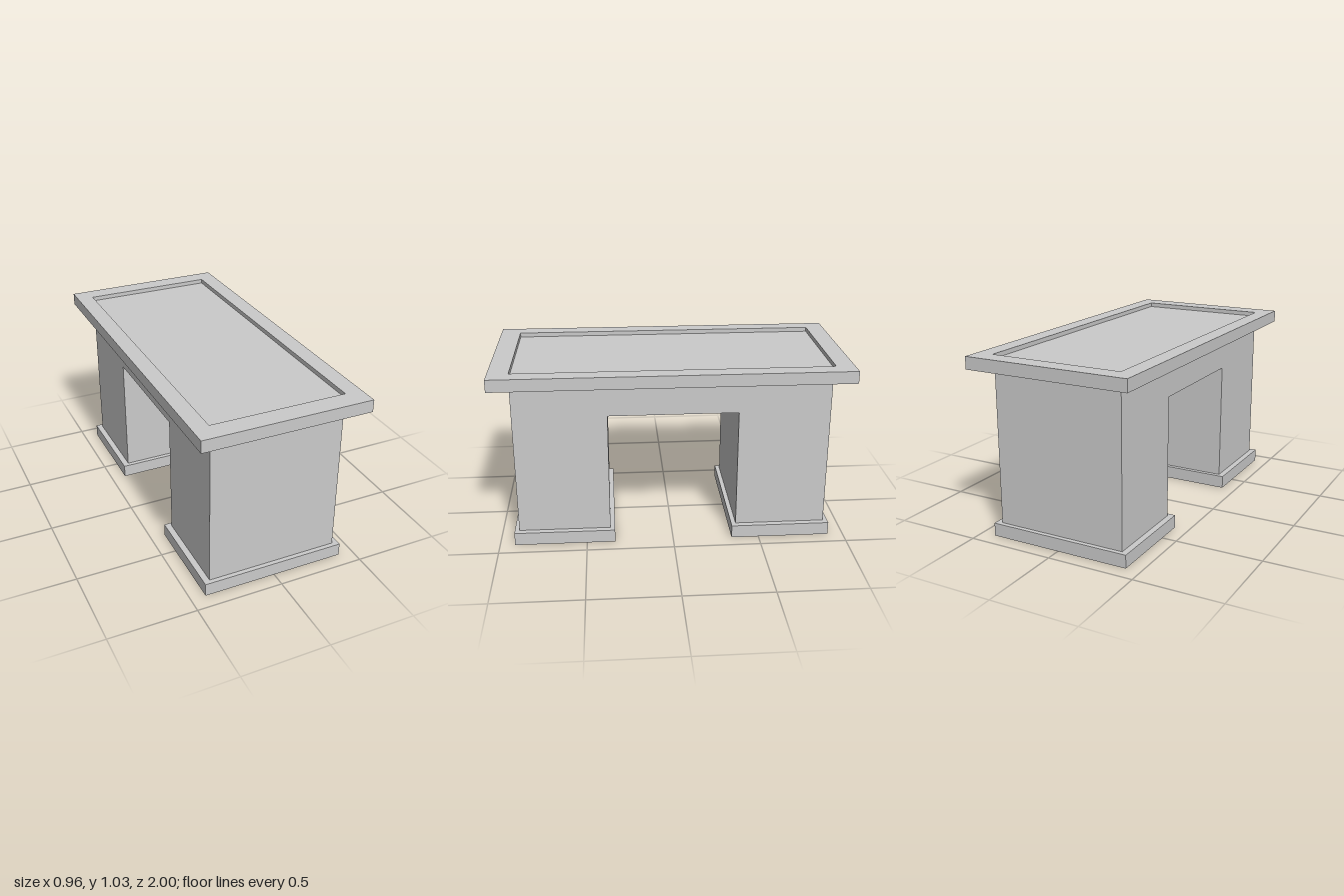
import * as THREE from 'three';

const material = new THREE.MeshStandardMaterial({ color: 0xcccccc, flatShading: true });

function part(name, geometry) {
  const mesh = new THREE.Mesh(geometry, material);
  mesh.name = name;
  return mesh;
}

function polygon(points, Type = THREE.Shape) {
  return new Type(points.map(([x, y]) => new THREE.Vector2(x, y)));
}

function rectangle(x0, x1, y0, y1, Type) {
  return polygon([[x0, y0], [x1, y0], [x1, y1], [x0, y1]], Type);
}

export function createModel() {
  const model = new THREE.Group();
  model.name = 'pedestalTable';

  const baseTop = 0.075, bodyTop = 0.96, top = 1.03, recessFloor = 1.005;

  // Two pedestals joined by a bridge: one arch profile in (-z, y), extruded along x
  const arch = polygon([
    [-0.888, baseTop], [-0.363, baseTop], [-0.363, 0.77], [0.368, 0.77],
    [0.368, baseTop], [0.886, baseTop], [0.886, bodyTop], [-0.888, bodyTop],
  ]);
  const body = new THREE.ExtrudeGeometry(arch, { depth: 0.76, bevelEnabled: false });
  body.translate(0, 0, -0.38).rotateY(Math.PI / 2);
  model.add(part('pedestalBody', body));

  // Plinth under each pedestal
  for (const [name, z0, z1] of [['frontPlinth', 0.337, 0.914], ['backPlinth', -0.912, -0.342]]) {
    const plinth = new THREE.BoxGeometry(0.83, baseTop, z1 - z0);
    plinth.translate(0, baseTop / 2, (z0 + z1) / 2);
    model.add(part(name, plinth));
  }

  // Slab below the recess, then the raised rim around it
  const outline = rectangle(-0.478, 0.478, -1, 1);
  const slab = new THREE.ExtrudeGeometry(outline, { depth: recessFloor - bodyTop, bevelEnabled: false });
  slab.rotateX(-Math.PI / 2).translate(0, bodyTop, 0);
  model.add(part('tabletopSlab', slab));

  const rimShape = outline.clone();
  rimShape.holes.push(rectangle(-0.384, 0.382, -0.884, 0.895, THREE.Path));
  const rim = new THREE.ExtrudeGeometry(rimShape, { depth: top - recessFloor, bevelEnabled: false });
  rim.rotateX(-Math.PI / 2).translate(0, recessFloor, 0);
  model.add(part('tabletopRim', rim));

  return model;
}
